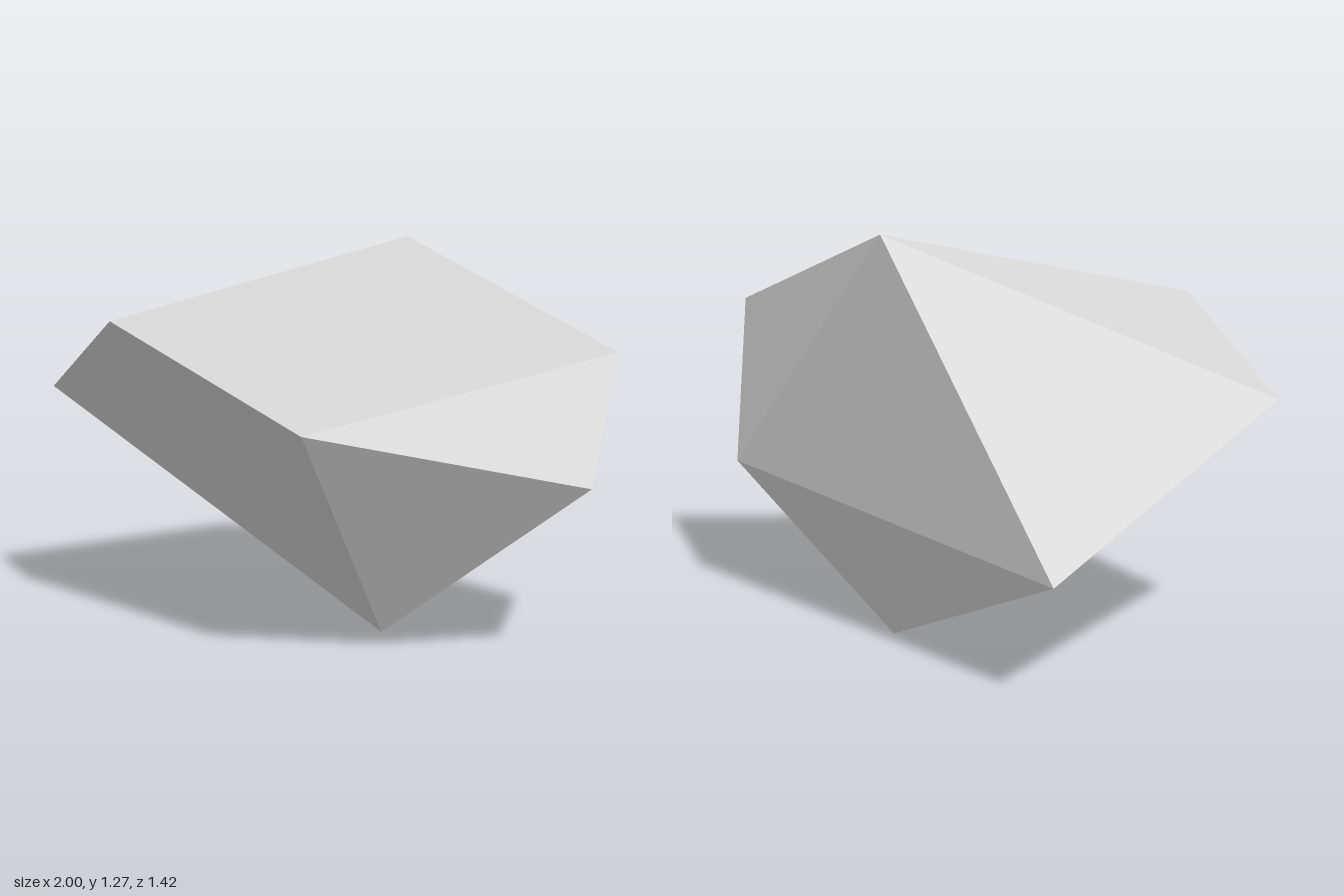
import * as THREE from 'three';

export function createModel() {
  const group = new THREE.Group();
  group.name = 'boulder';

  const paleGrey = new THREE.MeshStandardMaterial({ color: 0xd2d2d2 });
  paleGrey.name = 'paleGrey';

  // Corners of the faceted stone, from the peak down to the base
  const corners = [
    [-0.08, 1.27, -0.465], // 0 peak
    [-0.455, 1.04, 0.648], // 1 upper front
    [0.977, 0.975, -0.115], // 2 upper left side
    [0.39, 0.762, 0.71], // 3 front brow
    [-1, 0.75, 0.39], // 4 right shoulder
    [1, 0.577, 0.065], // 5 left tip
    [0.68, 0.45, -0.42], // 6 back left
    [-1, 0.346, -0.71], // 7 back right
    [0.325, 0.047, 0.225], // 8 front foot
    [-0.14, 0, -0.475], // 9 back foot
  ];
  const facets = [
    [0, 4, 1], [0, 1, 2], [1, 3, 2], [0, 7, 4], // top
    [1, 4, 8], [1, 8, 3], [3, 8, 5], // front
    [2, 3, 5], [2, 5, 6], // left
    [0, 2, 6], [0, 6, 7], [6, 9, 7], // back
    [5, 8, 6], [8, 9, 6], [4, 7, 9], [4, 9, 8], // underside
  ];

  // Separate corners for each facet keep the shading flat
  const geometry = new THREE.BufferGeometry();
  const positions = facets.flat().flatMap((i) => corners[i]);
  geometry.setAttribute('position', new THREE.Float32BufferAttribute(positions, 3));
  geometry.computeVertexNormals();

  const rock = new THREE.Mesh(geometry, paleGrey);
  rock.name = 'rock';
  group.add(rock);
  return group;
}
